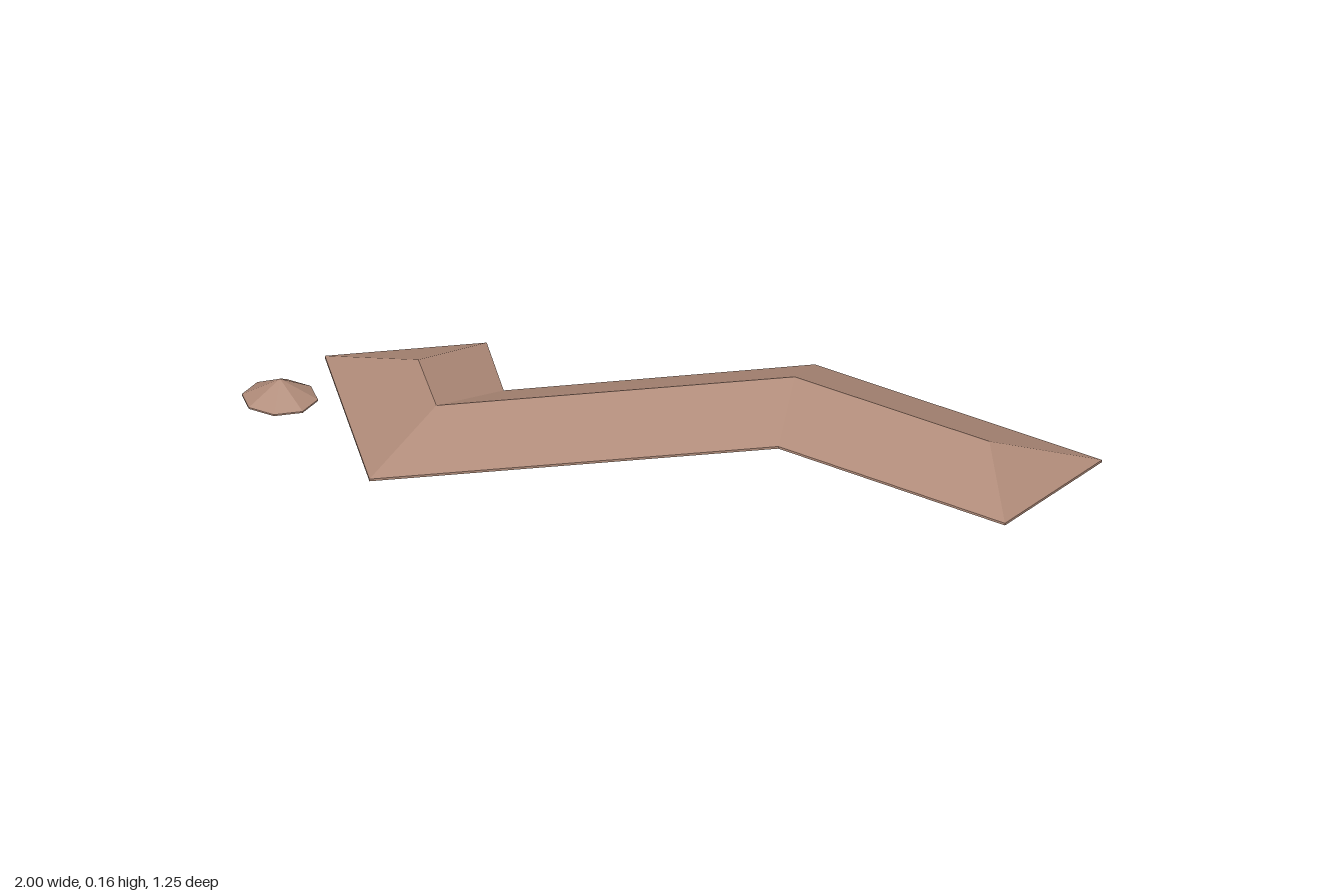
import * as THREE from 'three';

const EAVE_BOTTOM = 0.008, EAVE = 0.014, RIDGE = 0.094;

// Flat-shaded mesh from a list of triangle corners
function facetMesh(name, corners, material) {
  const g = new THREE.BufferGeometry();
  g.setAttribute('position', new THREE.Float32BufferAttribute(corners.flat(), 3));
  g.computeVertexNormals();
  const mesh = new THREE.Mesh(g, material);
  mesh.name = name;
  return mesh;
}

export function createModel() {
  const group = new THREE.Group();
  group.name = 'roofs';
  const tile = new THREE.MeshStandardMaterial({ color: 0xb08b79, side: THREE.DoubleSide });
  tile.name = 'clay roof';
  const stone = new THREE.MeshStandardMaterial({ color: 0x8a8c88 });
  stone.name = 'grey stone';

  // Eave corners as x, z and the ridge point each one rises to
  const ridge = [[-0.53, -0.405], [-0.545, -0.165], [0.34, -0.095], [0.72, 0.345]];
  const eaves = [
    [-0.71, -0.625, 0], [-0.31, -0.595, 0], [-0.33, -0.345, 1], [0.44, -0.29, 2],
    [1.0, 0.36, 3], [0.69, 0.62, 3], [0.25, 0.1, 2], [-0.76, 0.02, 1],
  ];
  const slopes = [], fascia = [];
  eaves.forEach((a, i) => {
    const b = eaves[(i + 1) % eaves.length];
    const at = (p, y) => [p[0], y, p[1]];
    const top = (p) => at(ridge[p[2]], RIDGE);
    slopes.push(at(b, EAVE), at(a, EAVE), top(a));
    if (a[2] !== b[2]) slopes.push(at(b, EAVE), top(a), top(b));
    fascia.push(at(a, EAVE), at(b, EAVE), at(b, EAVE_BOTTOM));
    fascia.push(at(a, EAVE), at(b, EAVE_BOTTOM), at(a, EAVE_BOTTOM));
  });
  group.add(facetMesh('hippedRoof', slopes, tile), facetMesh('eaveEdge', fascia, tile));

  // Shallow wall footprint under the main roof
  const plan = [
    [-0.71, -0.38], [-0.45, -0.365], [-0.445, -0.305], [0.41, -0.25],
    [0.95, 0.37], [0.69, 0.56], [0.27, 0.05], [-0.72, -0.02],
  ];
  const base = new THREE.ExtrudeGeometry(
    new THREE.Shape(plan.map(([x, z]) => new THREE.Vector2(x, z))),
    { depth: 0.015, bevelEnabled: false });
  base.rotateX(Math.PI / 2).translate(0, 0.015, 0);
  const footprint = new THREE.Mesh(base, stone);
  footprint.name = 'wallFootprint';
  group.add(footprint);

  // Separate eight-sided turret roof, open underneath
  const turret = new THREE.Group();
  turret.name = 'turretRoof';
  const start = THREE.MathUtils.degToRad(22);
  const cone = new THREE.ConeGeometry(0.094, 0.05, 8, 1, true, start).toNonIndexed();
  const rim = new THREE.CylinderGeometry(0.094, 0.094, 0.004, 8, 1, true, start).toNonIndexed();
  [['turretCone', cone, 0.131], ['turretRim', rim, 0.104]].forEach(([name, g, y]) => {
    g.computeVertexNormals();
    const mesh = new THREE.Mesh(g, tile);
    mesh.name = name;
    mesh.position.set(-0.91, y, -0.28);
    turret.add(mesh);
  });
  group.add(turret);
  return group;
}
